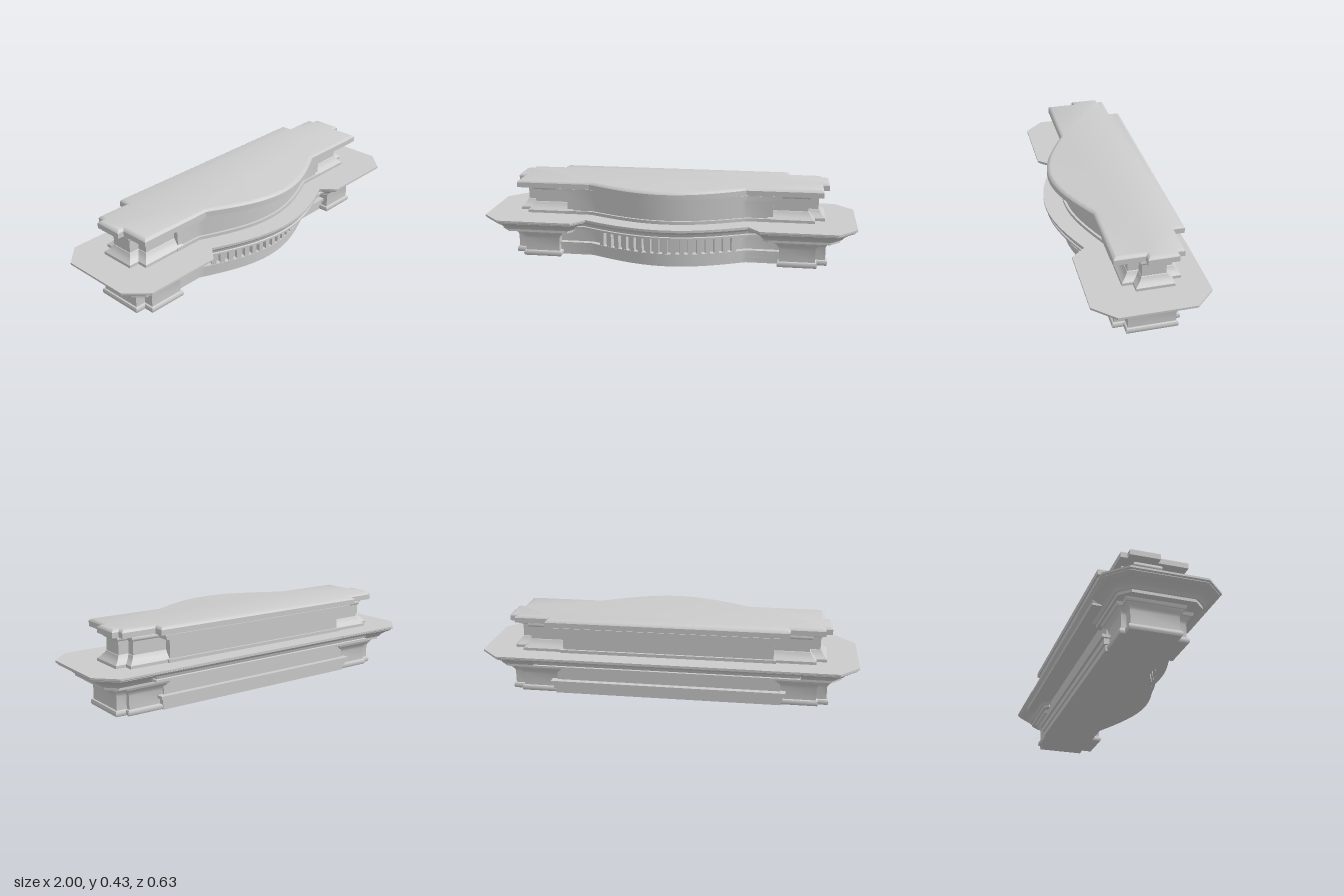
import * as THREE from 'three';
import { toCreasedNormals } from 'three/addons/utils/BufferGeometryUtils.js';

const material = new THREE.MeshStandardMaterial({ color: 0xcccccc });
const BOW = 0.42; // half width of the bowed front

// Moves every side of a closed plan [x, z] outward by d, with mitred corners
function offsetPlan(plan, d) {
  const n = plan.length;
  const normal = (a, b) => {
    const dx = b[0] - a[0], dz = b[1] - a[1], l = Math.hypot(dx, dz);
    return [dz / l, -dx / l];
  };
  return plan.map((p, i) => {
    const n1 = normal(plan[(i + n - 1) % n], p);
    const n2 = normal(p, plan[(i + 1) % n]);
    const k = d / (1 + n1[0] * n2[0] + n1[1] * n2[1]);
    return [p[0] + k * (n1[0] + n2[0]), p[1] + k * (n1[1] + n2[1])];
  });
}

// Runs a moulding profile [offset, y] (bottom to top) around a plan and caps both ends
function moulding(name, plan, profile) {
  const n = plan.length, pos = [];
  const rings = profile.map(([d, y]) => offsetPlan(plan, d).map(([x, z]) => [x, y, z]));
  const tri = (a, b, c) => pos.push(...a, ...b, ...c);
  for (let r = 0; r < rings.length - 1; r++) {
    const lo = rings[r], hi = rings[r + 1];
    for (let i = 0; i < n; i++) {
      const j = (i + 1) % n;
      tri(lo[i], hi[i], hi[j]);
      tri(lo[i], hi[j], lo[j]);
    }
  }
  const cap = (ring, up) => {
    const pts = ring.map(([x, , z]) => new THREE.Vector2(x, z));
    for (const [a, b, c] of THREE.ShapeUtils.triangulateShape(pts, [])) {
      if (up) tri(ring[a], ring[c], ring[b]);
      else tri(ring[a], ring[b], ring[c]);
    }
  };
  cap(rings[0], false);
  cap(rings[rings.length - 1], true);
  const geo = new THREE.BufferGeometry();
  geo.setAttribute('position', new THREE.Float32BufferAttribute(pos, 3));
  const mesh = new THREE.Mesh(toCreasedNormals(geo, 0.5), material);
  mesh.name = name;
  return mesh;
}

const bowZ = (x, flat, peak) => flat + (peak - flat) * Math.cos((Math.PI / 2) * x / BOW);

// Points of the bowed front, from +x to -x
function bowFront(flat, peak, steps = 32) {
  const pts = [];
  for (let i = 0; i <= steps; i++) {
    const x = BOW * (1 - 2 * i / steps);
    pts.push([x, bowZ(x, flat, peak)]);
  }
  return pts;
}

const bowPlan = (halfX, back, flat, peak) =>
  [[-halfX, back], [halfX, back], [halfX, flat], ...bowFront(flat, peak), [-halfX, flat]];

// Block with a narrower projection on its outer side
const pierPlan = (x0, x1, x2, back, front, pBack, pFront) =>
  [[x0, back], [x1, back], [x1, pBack], [x2, pBack], [x2, pFront], [x1, pFront], [x1, front], [x0, front]];

const mirrored = (plan) => plan.map(([x, z]) => [-x, z]).reverse();

// Half-round bead between two heights
function bead(y0, y1, base, out, steps = 6) {
  const pts = [];
  for (let i = 0; i <= steps; i++) {
    const a = Math.PI * i / steps;
    pts.push([base + out * Math.sin(a), (y0 + y1) / 2 - (y1 - y0) / 2 * Math.cos(a)]);
  }
  return pts;
}

export function createModel() {
  const model = new THREE.Group();
  model.name = 'bowedMantel';

  // Lower wall with stepped plinth and the bowed middle cornice
  model.add(moulding('lowerWall', bowPlan(0.6, -0.2, 0.075, 0.2), [
    [0.008, 0], [0.008, 0.03], [0.017, 0.03], [0.017, 0.06], [0.03, 0.06], [0.03, 0.076],
    [0, 0.076], [0, 0.18], [0.102, 0.18], [0.102, 0.19], [0.095, 0.193], [0.1, 0.208],
    [0.109, 0.216], [0.115, 0.222], [0.115, 0.235],
  ]));

  // Row of small upright blocks following the bow
  const dentils = new THREE.Group();
  dentils.name = 'dentils';
  const dentilGeo = new THREE.BoxGeometry(0.025, 0.104, 0.04);
  for (let i = -8; i <= 8; i++) {
    const x = i * 0.044;
    const slope = (bowZ(x + 0.005, 0.075, 0.2) - bowZ(x - 0.005, 0.075, 0.2)) / 0.01;
    const block = new THREE.Mesh(dentilGeo, material);
    block.name = 'dentil';
    block.position.set(x, 0.128, bowZ(x, 0.075, 0.2) + 0.008);
    block.rotation.y = -Math.atan(slope);
    dentils.add(block);
  }
  model.add(dentils);

  // Upper wall with foot and stepped head
  model.add(moulding('upperWall', bowPlan(0.56, -0.2, 0.08, 0.2), [
    [0.013, 0.23], [0.013, 0.252], [0, 0.252], [0, 0.358], [0.037, 0.358], [0.037, 0.371],
    [0.05, 0.371], [0.05, 0.386],
  ]));

  // Paired end parts
  const pedestal = pierPlan(0.6, 0.79, 0.845, -0.19, 0.13, -0.165, 0.075);
  const pedestalProfile = [
    ...bead(0, 0.03, 0.004, 0.007), [0, 0.031], [0, 0.1], [0.004, 0.112], [0.012, 0.124],
    [0.019, 0.134], [0.024, 0.136], [0.03, 0.152],
  ];
  const wing = [[0.43, -0.24], [0.5, -0.317], [0.9, -0.317], [1, -0.215], [1, 0.165],
    [0.9, 0.27], [0.5, 0.27], [0.43, 0.19]];
  const wingProfile = [
    [-0.085, 0.152], [-0.085, 0.167], [-0.077, 0.167], [-0.072, 0.173], [-0.064, 0.182],
    [-0.05, 0.192], [-0.034, 0.202], [-0.018, 0.209], [-0.008, 0.217], [-0.008, 0.22],
    [0, 0.225], [0, 0.235],
  ];
  const column = pierPlan(0.56, 0.745, 0.8, -0.165, 0.055, -0.12, 0);
  const columnProfile = [
    [0.036, 0.23], [0.036, 0.25], [0.029, 0.256], [0.018, 0.266], [0.009, 0.278],
    [0.003, 0.29], [0, 0.292], [0, 0.36], ...bead(0.36, 0.386, 0.003, 0.009),
  ];
  for (const [side, place] of [['left', (p) => p], ['right', mirrored]]) {
    model.add(moulding(side + 'Pedestal', place(pedestal), pedestalProfile));
    model.add(moulding(side + 'CorniceWing', place(wing), wingProfile));
    model.add(moulding(side + 'Column', place(column), columnProfile));
  }

  // Top slab with bevelled upper edge
  const rightEnd = [[0.64, -0.257], [0.64, -0.2], [0.82, -0.2], [0.82, -0.165],
    [0.855, -0.165], [0.855, -0.012], [0.82, -0.012], [0.82, 0.143]];
  model.add(moulding('topSlab', [...rightEnd, ...bowFront(0.143, 0.292), ...mirrored(rightEnd)], [
    [0, 0.39], [0, 0.417], [-0.004, 0.423], [-0.017, 0.43],
  ]));
  return model;
}
